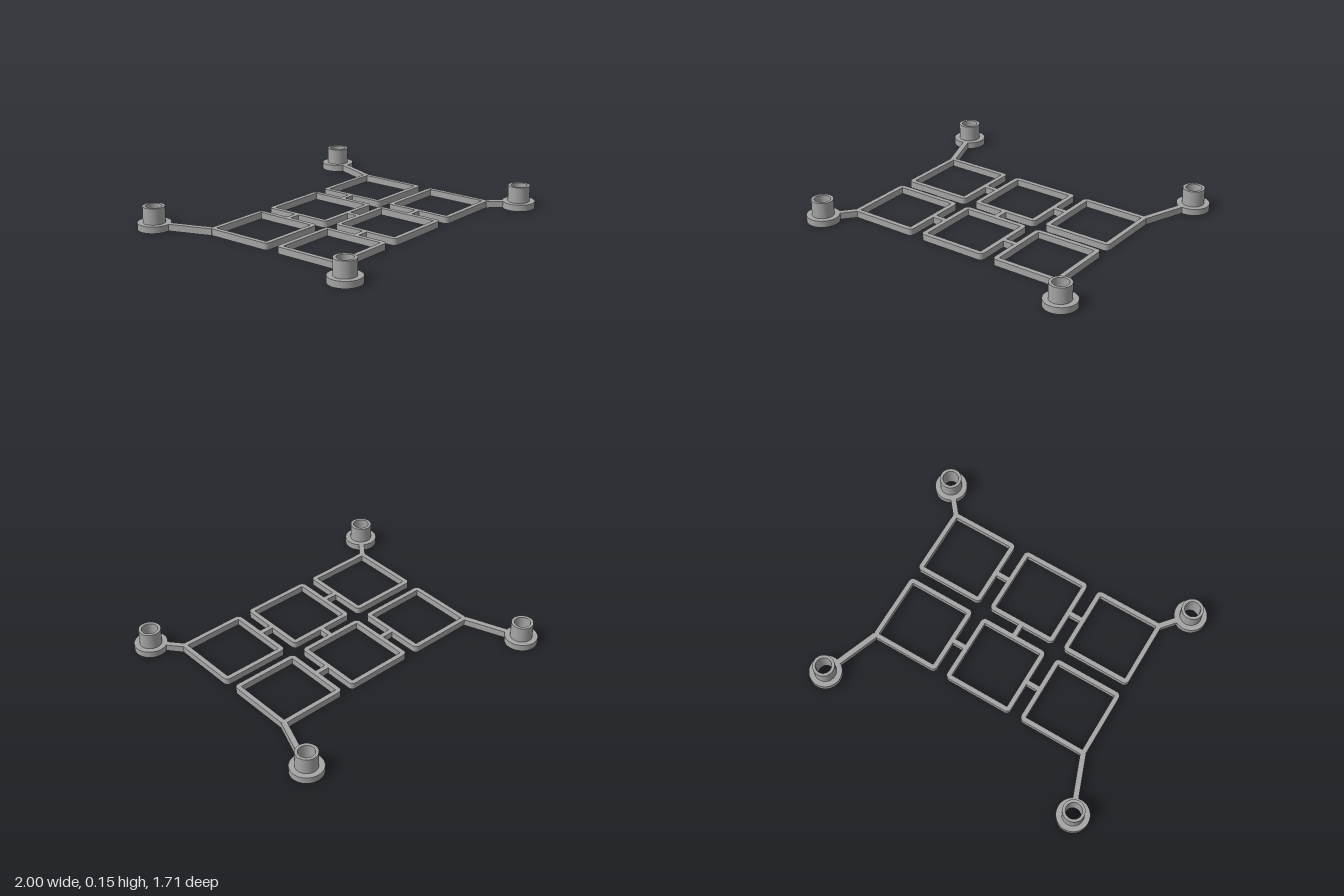
import * as THREE from 'three';
import { toCreasedNormals } from 'three/addons/utils/BufferGeometryUtils.js';

const H = 0.043;        // plate thickness
const SIZE = 0.465;     // outer side of a square frame
const WALL = 0.031;     // frame wall width
const COLS = [-0.54, 0, 0.54];
const ROWS = [-0.168, 0.369];

// Square frame with rounded outer corners and a sharp inner opening
function frameGeometry() {
  const h = SIZE / 2, r = 0.03, i = h - WALL;
  const shape = new THREE.Shape();
  shape.moveTo(-h + r, -h);
  shape.lineTo(h - r, -h);
  shape.absarc(h - r, -h + r, r, -Math.PI / 2, 0, false);
  shape.lineTo(h, h - r);
  shape.absarc(h - r, h - r, r, 0, Math.PI / 2, false);
  shape.lineTo(-h + r, h);
  shape.absarc(-h + r, h - r, r, Math.PI / 2, Math.PI, false);
  shape.lineTo(-h, -h + r);
  shape.absarc(-h + r, -h + r, r, Math.PI, Math.PI * 1.5, false);
  const hole = new THREE.Path();
  hole.moveTo(-i, -i);
  hole.lineTo(-i, i);
  hole.lineTo(i, i);
  hole.lineTo(i, -i);
  hole.closePath();
  shape.holes.push(hole);
  const geo = new THREE.ExtrudeGeometry(shape, { depth: H, bevelEnabled: false, curveSegments: 8 });
  geo.rotateX(-Math.PI / 2);
  return toCreasedNormals(geo, 0.6);
}

// Flanged tube with a through hole
function bushingGeometry() {
  const profile = [[0.051, 0], [0.105, 0], [0.105, H], [0.07, H], [0.07, 0.147], [0.051, 0.147], [0.051, 0]];
  const geo = new THREE.LatheGeometry(profile.map(([r, y]) => new THREE.Vector2(r, y)), 48);
  return toCreasedNormals(geo, 0.6);
}

export function createModel() {
  const model = new THREE.Group();
  model.name = 'gridBracket';
  const grey = new THREE.MeshStandardMaterial({ color: 0xa6a6a6 });
  grey.name = 'grey';

  const add = (name, geo, x, y, z) => {
    const mesh = new THREE.Mesh(geo, grey);
    mesh.name = name;
    mesh.position.set(x, y, z);
    model.add(mesh);
    return mesh;
  };

  // Flat bar between two points on the ground plan
  const bar = (name, x0, z0, x1, z1, width) => {
    const geo = new THREE.BoxGeometry(width, H, Math.hypot(x1 - x0, z1 - z0));
    const mesh = add(name, geo, (x0 + x1) / 2, H / 2, (z0 + z1) / 2);
    mesh.rotation.y = Math.atan2(x1 - x0, z1 - z0);
  };

  // Six frames in two rows, with links between the columns
  const frame = frameGeometry();
  for (const z of ROWS) {
    for (const x of COLS) add('frame', frame, x, 0, z);
    for (const s of [-1, 1]) bar('columnLink', s * 0.225, z, s * 0.315, z, 0.032);
  }
  bar('rowLink', 0, 0.055, 0, 0.145, 0.032);

  // Corner bushings, each on an arm from the nearest frame corner
  const bushing = bushingGeometry();
  for (const sx of [-1, 1]) {
    for (const [z, cornerZ] of [[-0.752, -0.388], [0.752, 0.587]]) {
      const x = sx * 0.895, cornerX = sx * 0.758;
      add('bushing', bushing, x, 0, z);
      const t = 0.085 / Math.hypot(cornerX - x, cornerZ - z);
      bar('arm', x + (cornerX - x) * t, z + (cornerZ - z) * t, cornerX, cornerZ, 0.036);
    }
  }
  return model;
}
